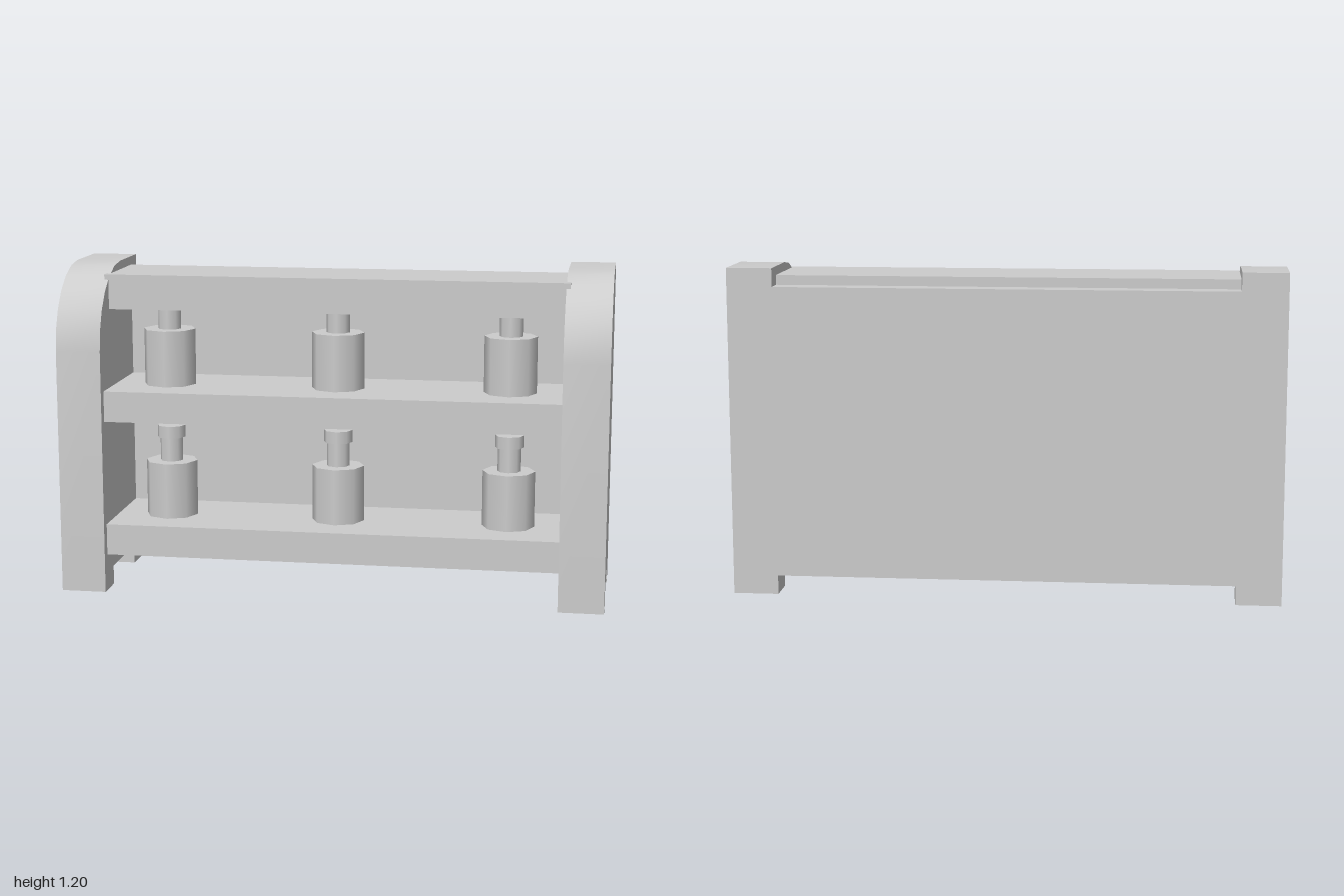
import * as THREE from 'three';
import { toCreasedNormals } from 'three/addons/utils/BufferGeometryUtils.js';

export function createModel() {
  const model = new THREE.Group();
  model.name = 'bottleShelf';
  const grey = new THREE.MeshStandardMaterial({ color: 0xcccccc });
  grey.name = 'light grey';

  const add = (parent, name, geometry, x = 0, y = 0, z = 0) => {
    const mesh = new THREE.Mesh(geometry, grey);
    mesh.name = name;
    mesh.position.set(x, y, z);
    parent.add(mesh);
  };
  // Board spanning the given y and z ranges
  const board = (name, width, y0, y1, z0, z1) =>
    add(model, name, new THREE.BoxGeometry(width, y1 - y0, z1 - z0), 0, (y0 + y1) / 2, (z0 + z1) / 2);

  // Side panel: rounded front top corner, notch between the two feet
  const D = 0.265, H = 1.2, R = 0.3, T = 0.165;
  const profile = new THREE.Shape();
  profile.moveTo(-D, 0);
  profile.lineTo(-0.15, 0);
  profile.lineTo(-0.15, 0.07);
  profile.lineTo(0.15, 0.07);
  profile.lineTo(0.15, 0);
  profile.lineTo(D, 0);
  for (let i = 0; i <= 6; i++) {
    const a = (i / 6) * Math.PI / 2;
    profile.lineTo(D - R + R * Math.cos(a), H - R + R * Math.sin(a));
  }
  profile.lineTo(-D, H);
  const side = toCreasedNormals(
    new THREE.ExtrudeGeometry(profile, { depth: T, bevelEnabled: false })
      .translate(0, 0, -T / 2).rotateY(-Math.PI / 2), 0.5);
  add(model, 'leftSide', side, 1 - T / 2);
  add(model, 'rightSide', side, -1 + T / 2);

  // Back and shelves; the top board is let into the sides
  board('backPanel', 1.67, 0.07, 1.133, -D, -0.19);
  board('bottomShelf', 1.67, 0.135, 0.25, -0.19, 0.23);
  board('middleShelf', 1.67, 0.637, 0.75, -0.19, 0.23);
  board('topBoard', 1.7, 1.04, 1.168, -0.19, 0.13);

  // Bottles: octagonal body, neck and cap
  const cyl = (r, h) => new THREE.CylinderGeometry(r, r, h, 8).translate(0, h / 2, 0);
  const body = cyl(0.0975, 0.208), neck = cyl(0.043, 0.09), cap = cyl(0.053, 0.045);
  for (const y of [0.25, 0.75]) {
    for (const x of [-0.635, 0, 0.635]) {
      const bottle = new THREE.Group();
      bottle.name = 'bottle';
      bottle.position.set(x, y, 0.017);
      add(bottle, 'bottleBody', body);
      add(bottle, 'bottleNeck', neck, 0, 0.208);
      add(bottle, 'bottleCap', cap, 0, 0.297);
      model.add(bottle);
    }
  }
  return model;
}
